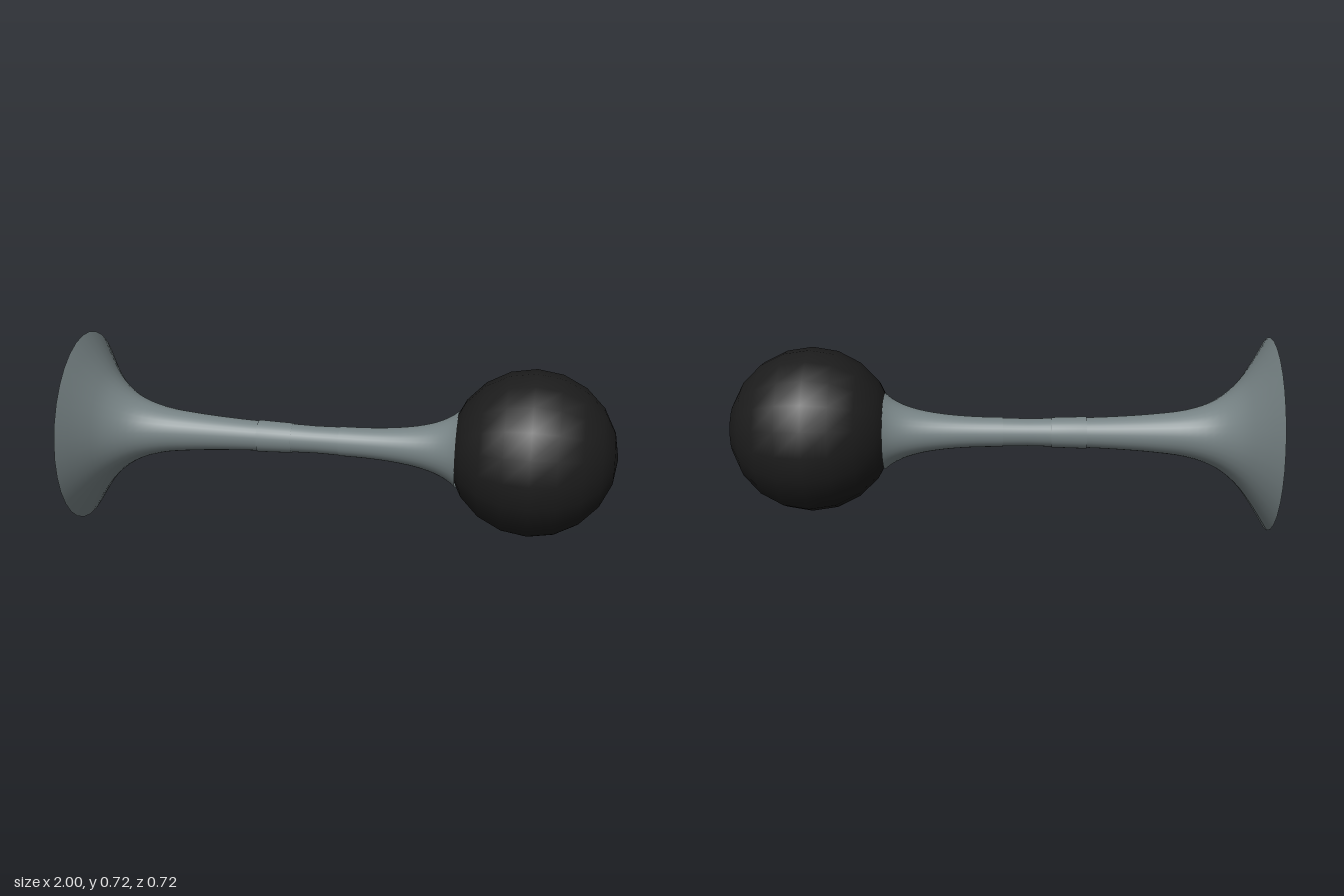
import * as THREE from 'three';

const AXIS_Y = 0.36;

export function createModel() {
  const group = new THREE.Group();
  const metal = new THREE.MeshStandardMaterial({ color: 0x778385, side: THREE.DoubleSide });
  const rubber = new THREE.MeshStandardMaterial({ color: 0x1c1c1c });

  // Turned part lying along x; profile pairs are [x, radius]
  function turned(name, profile, smooth) {
    let pts = profile.map(([x, r]) => new THREE.Vector2(r, x));
    if (smooth) pts = new THREE.SplineCurve(pts).getPoints(smooth);
    const mesh = new THREE.Mesh(new THREE.LatheGeometry(pts, 32), metal);
    mesh.name = name;
    mesh.rotation.z = -Math.PI / 2;
    mesh.position.y = AXIS_Y;
    group.add(mesh);
  }

  // Flared open bell
  turned('bell', [
    [-1, 0.358], [-0.94, 0.26], [-0.88, 0.182], [-0.8, 0.122], [-0.7, 0.088],
    [-0.58, 0.072], [-0.45, 0.062], [-0.32, 0.056], [-0.2, 0.054],
  ], 28);

  // Sleeve, narrow tube between the joints
  turned('sleeve', [[-0.33, 0.054], [-0.33, 0.06], [-0.2, 0.056], [-0.2, 0.051]]);
  turned('tube', [[-0.2, 0.053], [-0.11, 0.051], [-0.02, 0.053]]);

  // Cup that widens to hold the bulb
  turned('bulbCup', [
    [-0.02, 0.055], [0.08, 0.057], [0.18, 0.064], [0.27, 0.077],
    [0.34, 0.096], [0.39, 0.12], [0.42, 0.143],
  ], 18);

  // Squeeze bulb, poles along the horn
  const bulb = new THREE.Mesh(new THREE.SphereGeometry(0.307, 20, 10), rubber);
  bulb.name = 'bulb';
  bulb.rotation.z = -Math.PI / 2;
  bulb.position.set(0.692, 0.365, 0.004);
  group.add(bulb);

  return group;
}
